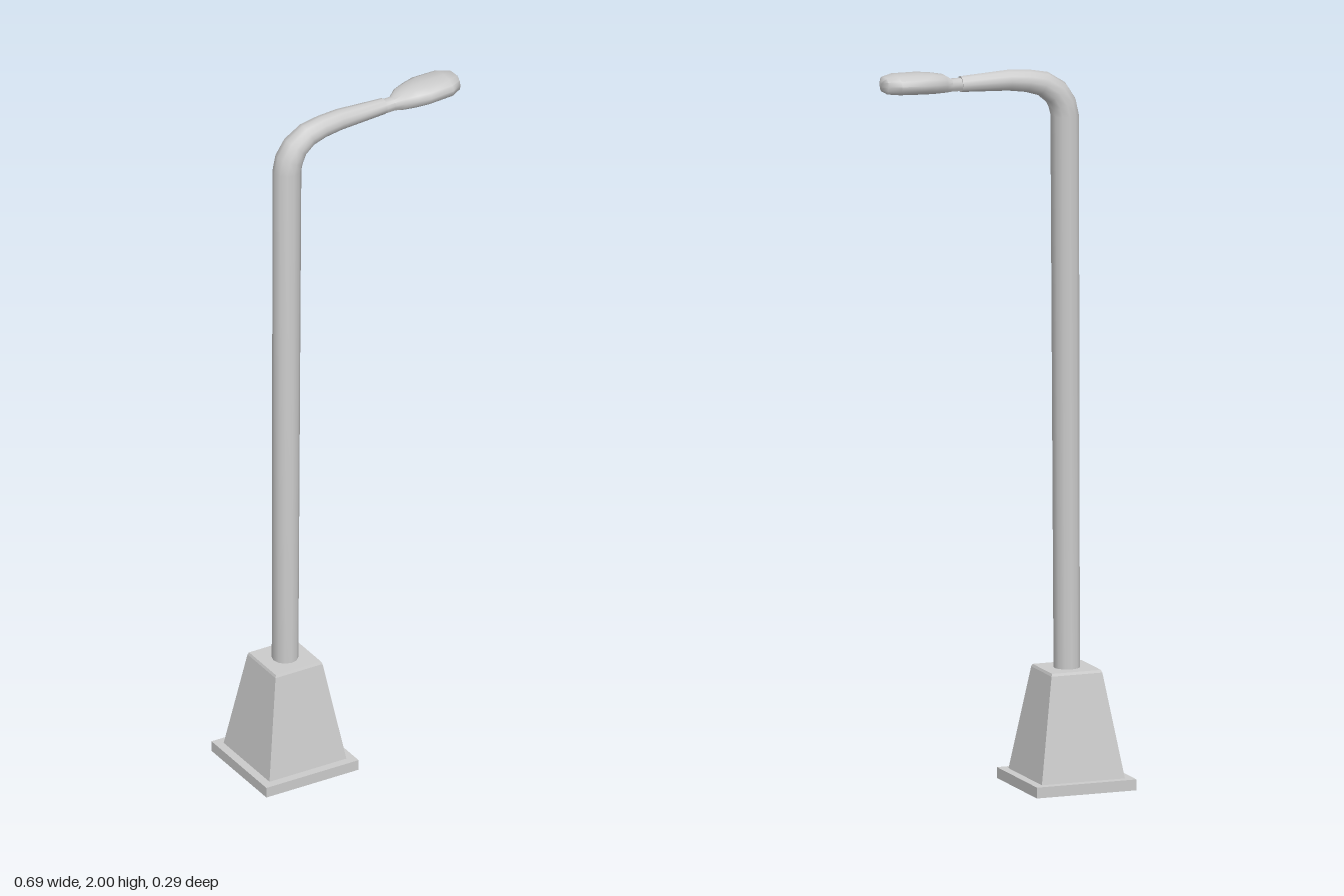
import * as THREE from 'three';
import { toCreasedNormals } from 'three/addons/utils/BufferGeometryUtils.js';

const material = new THREE.MeshStandardMaterial({ color: 0xcccccc });
const POLE_X = -0.2;

// Skin a list of equal-length rings and close both ends
function loft(rings, crease) {
  const n = rings[0].length;
  const pos = [], index = [];
  rings.forEach(r => r.forEach(p => pos.push(p.x, p.y, p.z)));
  for (let i = 0; i < rings.length - 1; i++) {
    for (let j = 0; j < n; j++) {
      const a = i * n + j, b = i * n + (j + 1) % n;
      index.push(a, b, a + n, b, b + n, a + n);
    }
  }
  const cap = (ring, start, flip) => {
    const c = ring.reduce((s, p) => s.add(p), new THREE.Vector3()).divideScalar(n);
    const k = pos.length / 3;
    pos.push(c.x, c.y, c.z);
    for (let j = 0; j < n; j++) {
      const a = start + j, b = start + (j + 1) % n;
      if (flip) index.push(k, b, a); else index.push(k, a, b);
    }
  };
  cap(rings[0], 0, true);
  cap(rings[rings.length - 1], (rings.length - 1) * n, false);
  const geo = new THREE.BufferGeometry();
  geo.setAttribute('position', new THREE.Float32BufferAttribute(pos, 3));
  geo.setIndex(index);
  return toCreasedNormals(geo, crease);
}

// Round tube of changing radius along a path in the xy plane: [x, y, radius]
function taperedTube(path, sides) {
  const pts = path.map(p => new THREE.Vector3(p[0], p[1], 0));
  const rings = path.map((p, i) => {
    const t = pts[Math.min(i + 1, pts.length - 1)].clone()
      .sub(pts[Math.max(i - 1, 0)]).normalize();
    if (i === 1) t.set(0, 1, 0); // keep the pole top level where the bend begins
    return Array.from({ length: sides }, (_, j) => {
      const a = (j / sides) * Math.PI * 2, s = Math.sin(a) * p[2];
      return new THREE.Vector3(p[0] + t.y * s, p[1] - t.x * s, Math.cos(a) * p[2]);
    });
  });
  return loft(rings, 0.9);
}

// Square block with its own half-widths at each height: [y, halfWidth]
function squareStack(levels) {
  const corners = [[1, 1], [1, -1], [-1, -1], [-1, 1]];
  return loft(levels.map(([y, h]) =>
    corners.map(([x, z]) => new THREE.Vector3(POLE_X + x * h, y, z * h))), 0.1);
}

function lampHead() {
  // Domed section with a flat underside: [z, y], scaled at each station
  const section = [[1, 0.5], [0.92, 0.2], [0.68, 0], [0, 0], [-0.68, 0], [-0.92, 0.2],
    [-1, 0.5], [-0.88, 0.78], [-0.55, 0.96], [0, 1], [0.55, 0.96], [0.88, 0.78]];
  // Stations: [x, halfWidth, bottom, top]
  const stations = [
    [0.10, 0.019, 1.942, 1.976], [0.138, 0.019, 1.943, 1.976],
    [0.16, 0.035, 1.944, 1.99], [0.195, 0.047, 1.945, 1.996],
    [0.23, 0.056, 1.947, 1.999], [0.30, 0.054, 1.95, 2.0],
    [0.332, 0.034, 1.952, 1.995], [0.342, 0.006, 1.962, 1.984]];
  return loft(stations.map(([x, w, lo, hi]) =>
    section.map(([z, y]) => new THREE.Vector3(x, lo + y * (hi - lo), z * w))), 0.8);
}

export function createModel() {
  const group = new THREE.Group();
  const add = (name, geometry) => {
    const mesh = new THREE.Mesh(geometry, material);
    mesh.name = name;
    group.add(mesh);
  };

  // Footing
  add('basePlate', squareStack([[0, 0.145], [0.03, 0.145]]));
  add('pedestal', squareStack([[0.03, 0.121], [0.317, 0.074], [0.324, 0.071]]));

  // Upright pole bending into a tapering arm
  add('poleAndArm', taperedTube([
    [POLE_X, 0.3, 0.036], [-0.194, 1.85, 0.039], [-0.187, 1.882, 0.039], [-0.168, 1.915, 0.037],
    [-0.13, 1.942, 0.034], [-0.085, 1.953, 0.031], [-0.03, 1.959, 0.029], [0.11, 1.959, 0.022]], 12));

  // Lamp with its neck socketed into the arm
  add('lampHead', lampHead());

  return group;
}
